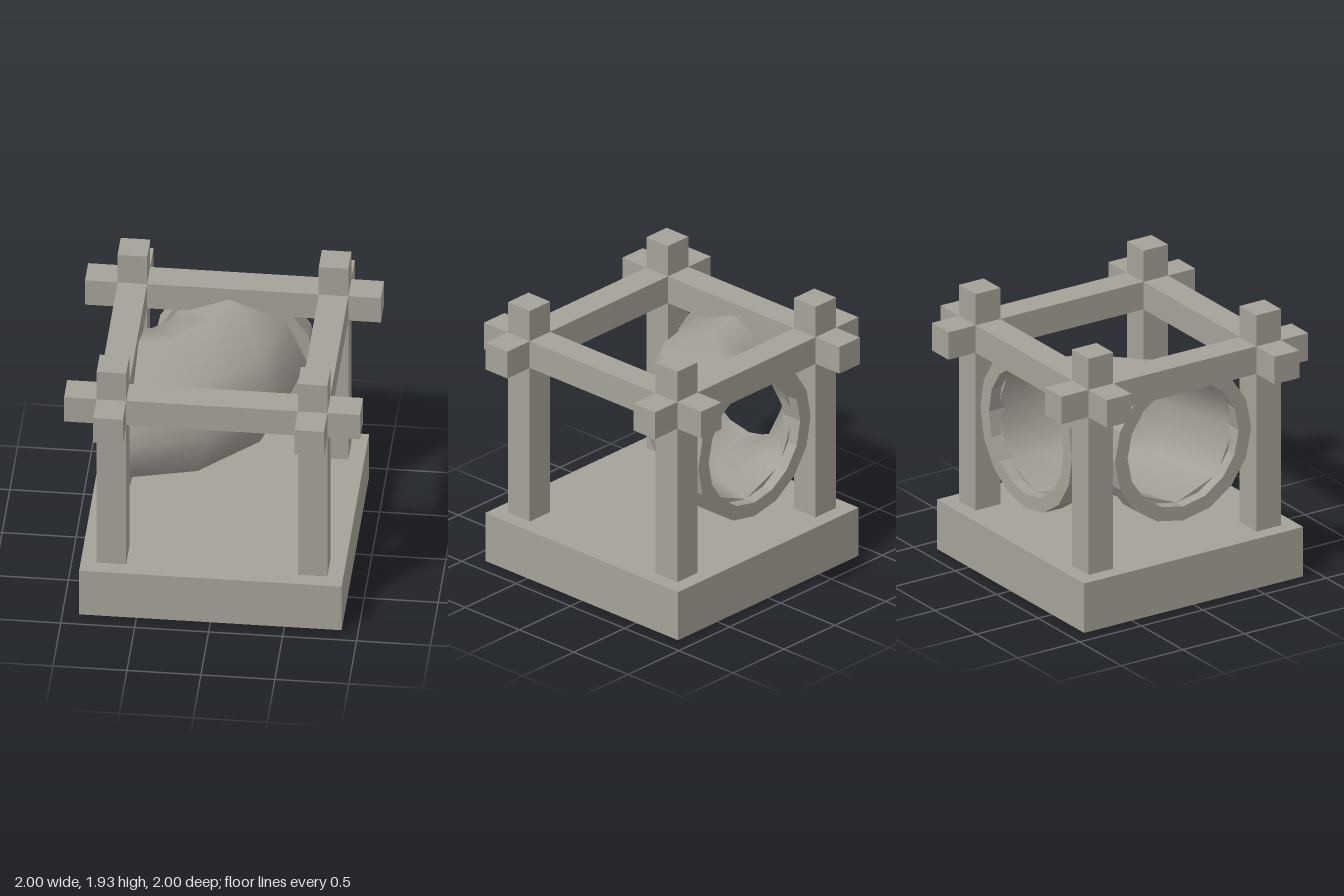
import * as THREE from 'three';

const SIDE = 0.68;      // centre line of posts, beams and pipe ends
const PIPE_Y = 1.122;   // height of the pipe axis
const COLOR = 0xa5a198;

export function createModel() {
  const model = new THREE.Group();
  const solid = new THREE.MeshStandardMaterial({ color: COLOR });
  const open = new THREE.MeshStandardMaterial({ color: COLOR, side: THREE.DoubleSide });

  const add = (name, geometry, material = solid) => {
    const mesh = new THREE.Mesh(geometry, material);
    mesh.name = name;
    model.add(mesh);
    return mesh;
  };
  const box = (name, w, h, d, x, y, z) =>
    add(name, new THREE.BoxGeometry(w, h, d)).position.set(x, y, z);

  // Base: a thin shell, open underneath
  const baseSize = 1.775, baseHeight = 0.36;
  const top = new THREE.PlaneGeometry(baseSize, baseSize).rotateX(-Math.PI / 2);
  add('baseTop', top, open).position.y = baseHeight;
  for (let i = 0; i < 4; i++) {
    const wall = new THREE.PlaneGeometry(baseSize, baseHeight);
    wall.translate(0, baseHeight / 2, baseSize / 2).rotateY(i * Math.PI / 2);
    add('baseWall', wall, open);
  }

  // Frame: four posts, just piercing the base top, and crossing beams
  const postBottom = 0.354, postTop = 1.935;
  for (const s of [-1, 1]) {
    for (const t of [-1, 1])
      box('post', 0.2, postTop - postBottom, 0.2, s * SIDE, (postTop + postBottom) / 2, t * SIDE);
    box('crossBeam', 2, 0.2, 0.2, 0, 1.609, s * SIDE);
    box('sideBeam', 0.2, 0.2, 2, s * SIDE, 1.609, 0);
  }

  // Elbow pipe: outer and inner walls of a quarter turn from back to right,
  // widened in plan as mitred joints are
  const miter = 1 / Math.cos(Math.PI / 12);
  for (const [name, radius] of [['pipeOuter', 0.5], ['pipeInner', 0.45]]) {
    const elbow = new THREE.TorusGeometry(SIDE / miter, radius, 8, 3, Math.PI / 2);
    elbow.rotateX(Math.PI / 2).scale(miter, 1, miter);
    add(name, elbow, open).position.set(-SIDE, PIPE_Y, -SIDE);
  }

  // Flanges: a faceted collar and a wall rim at each pipe end
  const collarShape = new THREE.Shape().absarc(0, 0, 0.552, 0, Math.PI * 2, false);
  collarShape.holes.push(new THREE.Path().absarc(0, 0, 0.45, 0, Math.PI * 2, true));
  const collar = new THREE.ExtrudeGeometry(collarShape,
    { depth: 0.15, bevelEnabled: false, curveSegments: 8 });
  collar.translate(0, 0, -0.08);
  const rim = new THREE.RingGeometry(0.45, 0.5, 8).scale(miter, 1, 1);
  for (const [x, z, turn] of [[0, -SIDE, 0], [-SIDE, 0, Math.PI / 2]]) {
    for (const mesh of [add('pipeCollar', collar), add('pipeRim', rim, open)]) {
      mesh.position.set(x, PIPE_Y, z);
      mesh.rotation.y = turn;
    }
  }
  return model;
}
